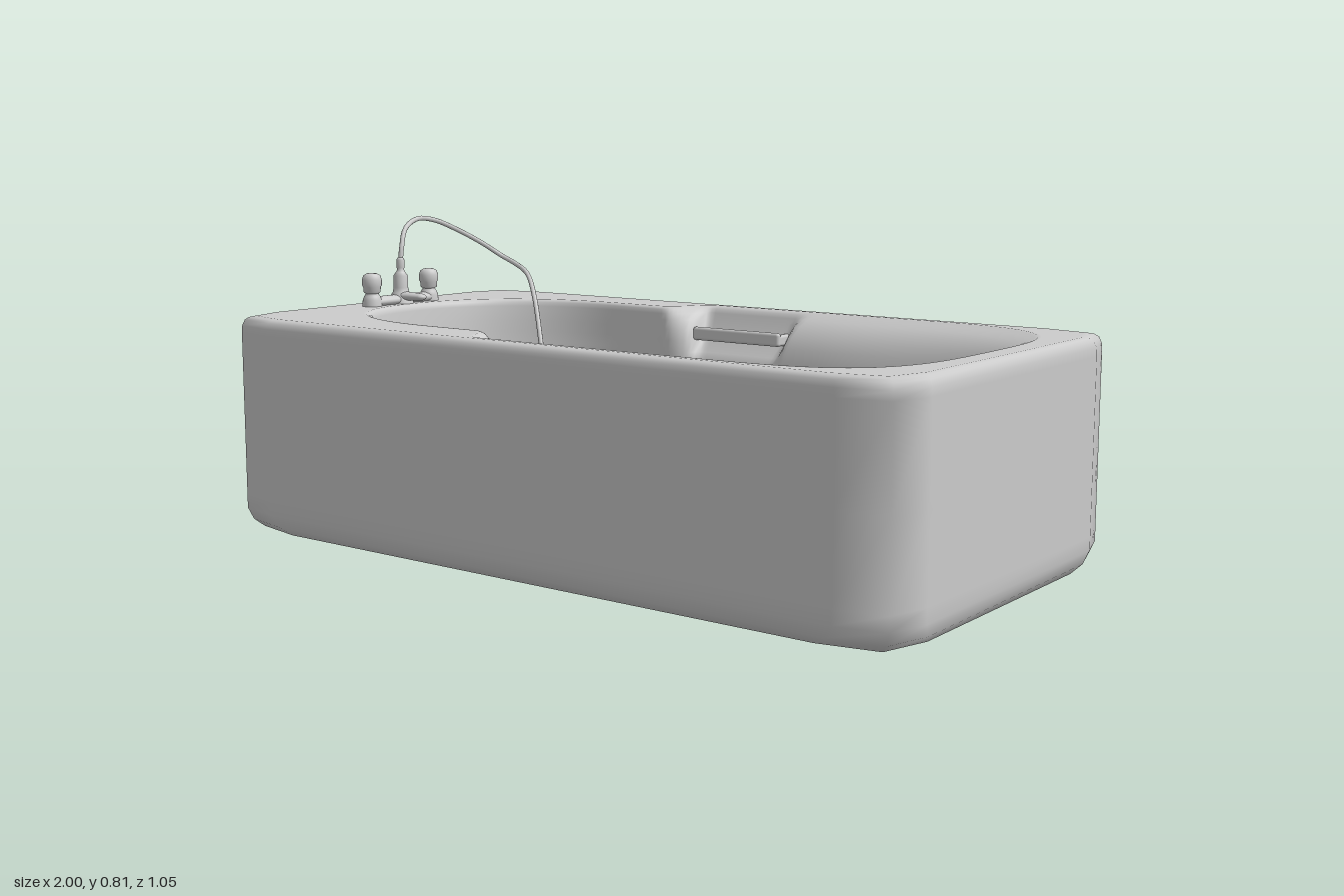
import * as THREE from 'three';
import { RoundedBoxGeometry } from 'three/addons/geometries/RoundedBoxGeometry.js';

const grey = new THREE.MeshStandardMaterial({ color: 0xcccccc, side: THREE.DoubleSide });
grey.name = 'light grey enamel';

const N = 240; // points around each basin ring
const { smoothstep, lerp } = THREE.MathUtils;

function add(parent, name, geometry, x = 0, y = 0, z = 0) {
  const mesh = new THREE.Mesh(geometry, grey);
  mesh.name = name;
  mesh.position.set(x, y, z);
  parent.add(mesh);
  return mesh;
}

// smooth skin through stacked rings of [x, z] points, each at its own height
function skin(rings) {
  const n = rings[0].pts.length, pos = [], idx = [];
  rings.forEach(({ y, pts }, i) => pts.forEach(([x, z], j) => {
    pos.push(x, y, z);
    if (i === rings.length - 1) return;
    const p = i * n + j, q = i * n + (j + 1) % n;
    idx.push(p, p + n, q, q, p + n, q + n);
  }));
  const g = new THREE.BufferGeometry();
  g.setAttribute('position', new THREE.Float32BufferAttribute(pos, 3));
  g.setIndex(idx);
  g.computeVertexNormals();
  return g;
}

// distance from the origin to an outline along angle a
function reach(inside, a) {
  let lo = 0, hi = 1.5;
  for (let i = 0; i < 30; i++) {
    const m = (lo + hi) / 2;
    if (inside(m * Math.cos(a), m * Math.sin(a))) lo = m; else hi = m;
  }
  return lo;
}

const floorOutline = (x, z) =>
  Math.abs((x + 0.04) / 0.76) ** 2.5 + Math.abs(z / 0.315) ** 2.5 < 1;

// narrow at the tap end, stepping out to wide armrests and a square backrest
function rimOutline(x, z) {
  const u = Math.max(0, 1 - Math.max(0, (-0.4 - x) / 0.44) ** 2.3);
  const v = Math.max(0, 1 - Math.max(0, (x - 0.45) / 0.46) ** 3.5);
  const narrow = 0.365 * u ** (1 / 2.3), wide = 0.47 * v ** (1 / 3.5);
  return Math.abs(z) < lerp(narrow, wide, smoothstep(x, -0.24, -0.15));
}

const angles = Array.from({ length: N }, (_, j) => (j / N) * Math.PI * 2);
const polar = radii => radii.map((r, j) => [r * Math.cos(angles[j]), r * Math.sin(angles[j])]);

// oblong with bevelled corners, inset by d, corner size s
function oblong(d, s) {
  const X = 1 - d, Z = 0.525 - d;
  const a = [X, Z - 0.125 * s], b = [X - 0.03 * s, Z - 0.025 * s], c = [X - 0.15 * s, Z];
  const flip = (pts, sx, sz) => pts.map(([x, z]) => [x * sx, z * sz]);
  return [...flip([a, b, c], 1, 1), ...flip([c, b, a], -1, 1),
    ...flip([a, b, c], -1, -1), ...flip([c, b, a], 1, -1)];
}

function buildTub(model) {
  // skirt: inset, height, corner size
  add(model, 'skirt', skin([
    [0.12, 0.006, 1.3], [0.1, 0.002, 1.3], [0.06, 0.003, 1.3], [0.025, 0.014, 1.2],
    [0.008, 0.034, 1.1], [0, 0.065, 1], [0, 0.1, 1], [0, 0.3, 1], [0, 0.53, 1],
    [0.001, 0.55, 1], [0.006, 0.565, 1], [0.014, 0.572, 1], [0.026, 0.575, 1], [0.034, 0.575, 1],
  ].map(([d, y, s]) => ({ y, pts: oblong(d, s) }))));

  const F = angles.map(a => reach(floorOutline, a));
  const R = angles.map(a => reach(rimOutline, a));

  // flat rim
  const toVectors = pts => pts.map(p => new THREE.Vector2(...p));
  const rim = new THREE.Shape(toVectors(oblong(0.034, 1)));
  rim.holes.push(new THREE.Path(toVectors(polar(R.map(r => r + 0.022)))));
  add(model, 'rim', new THREE.ShapeGeometry(rim).rotateX(-Math.PI / 2), 0, 0.575, 0);

  // basin lip: outset from the rim outline, height
  const rings = [[0.022, 0.575], [0.014, 0.575], [0.006, 0.572]]
    .map(([o, y]) => ({ y, pts: polar(R.map(r => r + o)) }));
  // basin wall: blend from floor to rim outline for the rolled sides, the backrest,
  // the tap end and the grab rail recesses, then height
  for (const [side, back, tap, recess, y] of [
    [0.97, 0.97, 0.99, 0.98, 0.567], [0.84, 0.88, 0.96, 0.95, 0.556],
    [0.7, 0.79, 0.92, 0.9, 0.54], [0.56, 0.7, 0.86, 0.82, 0.515],
    [0.46, 0.63, 0.8, 0.7, 0.485], [0.4, 0.57, 0.73, 0.52, 0.455],
    [0.36, 0.52, 0.66, 0.38, 0.43], [0.28, 0.41, 0.53, 0.28, 0.36],
    [0.2, 0.29, 0.38, 0.2, 0.27], [0.13, 0.19, 0.24, 0.13, 0.195],
    [0.06, 0.08, 0.1, 0.06, 0.14], [0, 0, 0, 0, 0.112]])
    rings.push({
      y, pts: polar(F.map((f, j) => {
        const x = R[j] * Math.cos(angles[j]);
        let k = lerp(side, back, smoothstep(x, 0.3, 0.9));
        k = lerp(tap, k, smoothstep(x, -0.27, -0.2));
        k = lerp(k, recess, smoothstep(x, -0.19, -0.16) * (1 - smoothstep(x, 0.12, 0.17)));
        return lerp(f, R[j], k);
      })),
    });
  // basin floor: scale, height
  for (const [s, y] of [[0.95, 0.09], [0.88, 0.08], [0.75, 0.076], [0.4, 0.075], [0.002, 0.075]])
    rings.push({ y, pts: polar(F.map(f => f * s)) });
  add(model, 'basin', skin(rings));
}

const lathe = (pts, seg = 24) =>
  new THREE.LatheGeometry(pts.map(p => new THREE.Vector2(...p)), seg);

const tube = (pts, radius, seg) => new THREE.TubeGeometry(
  new THREE.CatmullRomCurve3(pts.map(p => new THREE.Vector3(...p))), seg, radius, 10);

function mixerTap() {
  const g = new THREE.Group();
  g.name = 'mixerTap';
  g.position.set(-0.89, 0.574, 0);
  // cross bar with a foot and knob at each end
  const bar = add(g, 'tapBar', new THREE.CapsuleGeometry(0.024, 0.2, 6, 16), 0, 0.012, 0);
  bar.rotation.x = Math.PI / 2;
  bar.scale.z = 0.6;
  for (const s of [-1, 1]) {
    add(g, 'tapFoot', lathe([[0.027, 0], [0.026, 0.018], [0.022, 0.028], [0.018, 0.034],
      [0.018, 0.04]]), 0, 0, s * 0.11);
    add(g, 'tapKnob', lathe([[0.018, 0.036], [0.023, 0.04], [0.024, 0.054], [0.027, 0.058],
      [0.027, 0.074], [0.023, 0.086], [0.014, 0.091], [0, 0.092]]), 0, 0, s * 0.11);
  }
  // centre column and hose coupling
  add(g, 'tapColumn', lathe([[0.036, 0], [0.032, 0.018], [0.023, 0.032], [0.02, 0.045],
    [0.02, 0.078], [0.013, 0.088], [0.009, 0.096], [0.011, 0.1], [0.011, 0.122],
    [0.008, 0.128], [0, 0.13]]));
  // spout
  const spout = add(g, 'spout', new THREE.CylinderGeometry(0.016, 0.022, 0.075, 20), 0.04, 0.022, 0);
  spout.rotation.z = -Math.PI / 2;
  spout.scale.x = 0.6;
  add(g, 'spoutTip', new THREE.SphereGeometry(0.016, 16, 10), 0.0775, 0.022, 0).scale.y = 0.6;
  return g;
}

function handShower() {
  const g = new THREE.Group();
  g.name = 'handShower';
  add(g, 'hose', tube([[-0.89, 0.69, 0], [-0.892, 0.73, -0.008], [-0.904, 0.78, -0.035],
    [-0.912, 0.806, -0.09], [-0.912, 0.8, -0.16], [-0.9, 0.77, -0.24], [-0.87, 0.73, -0.31],
    [-0.835, 0.69, -0.36], [-0.79, 0.67, -0.366], [-0.72, 0.645, -0.34], [-0.65, 0.59, -0.29],
    [-0.55, 0.4, -0.215], [-0.45, 0.24, -0.13], [-0.39, 0.14, -0.05], [-0.39, 0.11, 0.02],
    [-0.425, 0.1, 0.07], [-0.48, 0.097, 0.085], [-0.53, 0.097, 0.085]], 0.0068, 120));
  // grip and head resting on the basin floor
  add(g, 'showerGrip', new THREE.CylinderGeometry(0.013, 0.008, 0.2, 16), -0.615, 0.098, 0.085)
    .rotation.z = Math.PI / 2;
  add(g, 'showerHead', lathe([[0, 0], [0.03, 0], [0.037, 0.008], [0.037, 0.024], [0.03, 0.032],
    [0.02, 0.028], [0.018, 0.036], [0, 0.036]], 28), -0.735, 0.082, 0.085);
  return g;
}

// grab rail bridging its recess in the basin wall
function grabRail(side) {
  const g = new THREE.Group();
  g.name = side > 0 ? 'frontGrabRail' : 'backGrabRail';
  add(g, 'railBar', new RoundedBoxGeometry(0.28, 0.036, 0.018, 3, 0.008), -0.02, 0.505, side * 0.394);
  for (const x of [-0.15, 0.11])
    add(g, 'railBracket', new RoundedBoxGeometry(0.018, 0.03, 0.07, 3, 0.008), x, 0.502, side * 0.425);
  return g;
}

export function createModel() {
  const model = new THREE.Group();
  model.name = 'bathtub';
  buildTub(model);
  model.add(mixerTap(), handShower(), grabRail(1), grabRail(-1));

  // overflow cover on the end wall
  add(model, 'overflow', lathe([[0.034, 0], [0.034, 0.008], [0.027, 0.014], [0.012, 0.014],
    [0.01, 0.02], [0, 0.021]]), -0.83, 0.45, 0).rotation.z = -Math.PI / 2;
  // drain plug with a short pipe under the floor
  add(model, 'drain', lathe([[0, -0.015], [0.009, -0.015], [0.009, 0], [0.021, 0.001],
    [0.019, 0.005], [0, 0.006]]), -0.66, 0.077, 0);
  return model;
}
